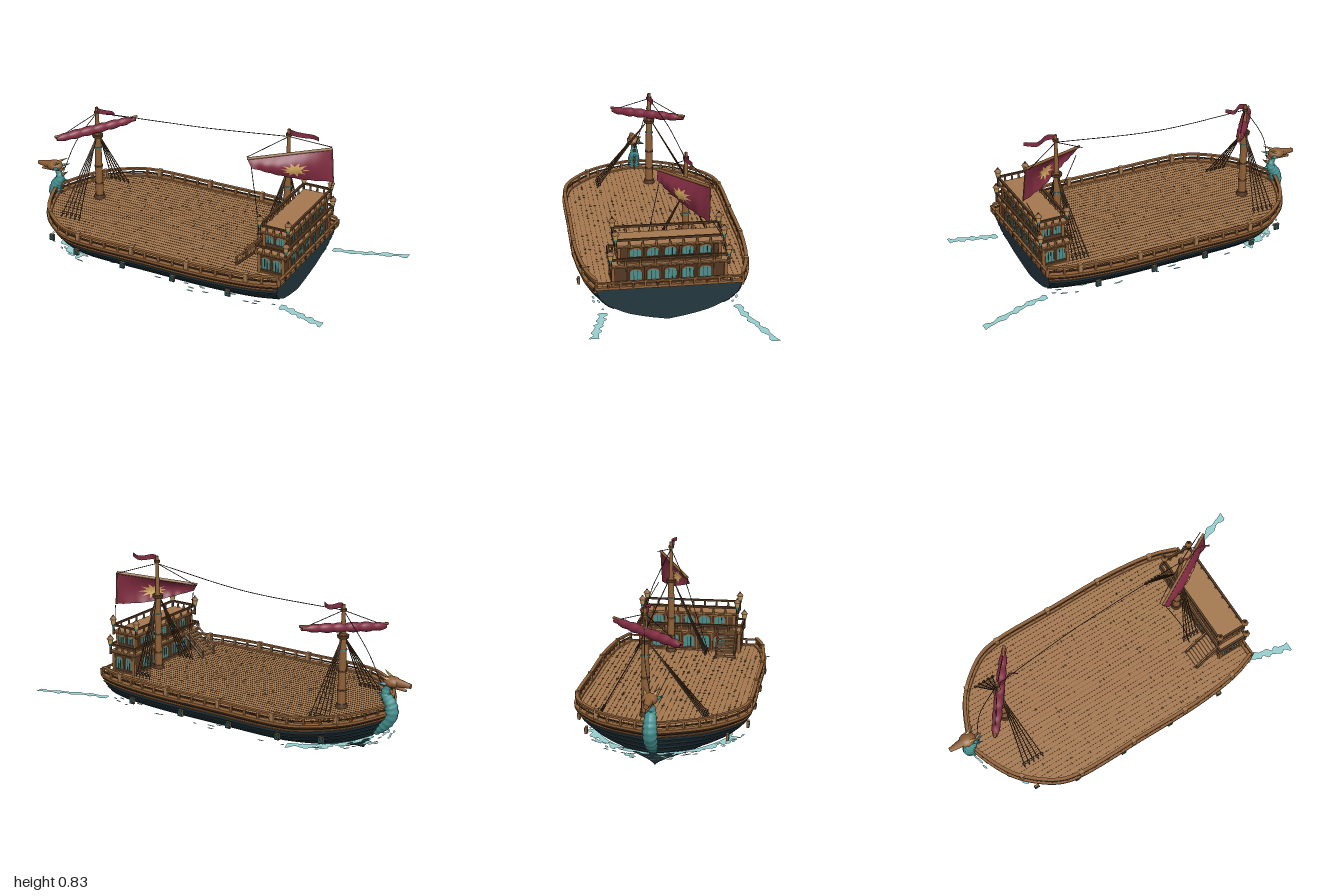
import * as THREE from 'three';
import { mergeGeometries, toCreasedNormals } from 'three/addons/utils/BufferGeometryUtils.js';

const V = (x, y, z) => new THREE.Vector3(x, y, z);
const mat = (name, color, side = THREE.FrontSide) => Object.assign(new THREE.MeshStandardMaterial({ color, side }), { name });

export function createModel() {
  const hullBlue = mat('hull blue', 0x283e46, THREE.DoubleSide), wood = mat('wood', 0x8f6037);
  const deckWood = mat('deck wood', 0xa4784e), darkWood = mat('dark wood', 0x553822);
  const teal = mat('teal', 0x459191), red = mat('crimson cloth', 0x7f2b40, THREE.DoubleSide);
  const gold = mat('gold', 0xcfa25c, THREE.DoubleSide), rope = mat('rope', 0x38271c);
  const foam = mat('foam', 0x96d0d0, THREE.DoubleSide);
  const model = new THREE.Group();

  const group = (name, parent = model, x = 0, y = 0, z = 0) => {
    const g = Object.assign(new THREE.Group(), { name });
    g.position.set(x, y, z);
    parent.add(g);
    return g;
  };
  const add = (name, geo, m, parent = model) => parent.add(Object.assign(new THREE.Mesh(geo, m), { name }));
  const box = (name, w, h, d, x, y, z, m, parent) => add(name, new THREE.BoxGeometry(w, h, d).translate(x, y, z), m, parent);
  const align = (geo, a, b) => {
    const q = new THREE.Quaternion().setFromUnitVectors(V(0, 1, 0), b.clone().sub(a).normalize());
    return geo.applyQuaternion(q).translate(...a.clone().lerp(b, 0.5).toArray());
  };
  const rodGeo = (a, b, r0, r1 = r0, n = 6) => align(new THREE.CylinderGeometry(r1, r0, a.distanceTo(b), n), a, b);
  const rod = (name, a, b, r0, r1, m, parent, n) => add(name, rodGeo(a, b, r0, r1, n), m, parent);
  // surface through fn(u, v)
  const grid = (nu, nv, fn, crease = 0) => {
    const pos = [], idx = [], k = nv + 1;
    for (let i = 0; i <= nu; i++) for (let j = 0; j <= nv; j++) {
      const a = i * k + j, b = a + k;
      pos.push(...fn(i / nu, j / nv).toArray());
      if (i < nu && j < nv) idx.push(a, b, a + 1, b, b + 1, a + 1);
    }
    const g = new THREE.BufferGeometry();
    g.setAttribute('position', new THREE.Float32BufferAttribute(pos, 3)).setIndex(idx).computeVertexNormals();
    return crease ? toCreasedNormals(g, crease) : g;
  };
  let seed = 7;
  const rnd = () => (seed = (seed * 16807) % 2147483647) / 2147483647;

  // Hull: plan outline from left stern round the bow to right stern
  const half = [[0.62, 0.36], [0.5, 0.4], [0.25, 0.43], [-0.12, 0.432], [-0.5, 0.428], [-0.6, 0.4], [-0.7, 0.33], [-0.78, 0.245], [-0.845, 0.12]];
  const right = half.slice().reverse().map(([x, z]) => [x, -z]);
  const plan = new THREE.CatmullRomCurve3([...half, [-0.88, 0], ...right].map(([x, z]) => V(x, 0, z)), false, 'centripetal');
  const fullness = [[0, 0], [0.1, 0.3], [0.24, 0.57], [0.48, 0.82], [0.7, 0.94], [1, 1]];
  const hullPt = (t, y, out = 0) => {
    const p = plan.getPoint(t), d = plan.getTangent(t), v = Math.min(1, y / 0.21);
    const i = Math.max(1, fullness.findIndex(f => v <= f[0])), [a, fa] = fullness[i - 1], [b, fb] = fullness[i];
    const bow = -0.75 - 0.13 * v, stern = 0.57 + 0.05 * v, wide = fa + (fb - fa) * (v - a) / (b - a);
    return V(bow + (stern - bow) * (p.x + 0.88) / 1.5 + d.z * out, y, p.z * wide - d.x * out);
  };
  const hull = group('hull');
  add('hullShell', grid(96, 14, (u, v) => hullPt(u, 0.215 * (1 - v))), hullBlue, hull);
  add('transom', grid(24, 14, (u, v) => hullPt(0, 0.21 * v).multiply(V(1, 1, 1 - 2 * u))), hullBlue, hull);
  const band = (name, y0, y1, in0, out, m) => add(name, grid(96, 4, (u, v) => {
    const j = Math.round(v * 4) % 4;
    return hullPt(u, j === 1 || j === 2 ? y1 : y0, j < 2 ? in0 : out);
  }, 0.6), m, hull);
  for (const y of [0.085, 0.11, 0.135, 0.16]) band('hullPlank', y, y + 0.017, 0, 0.006, hullBlue);
  band('lowerWale', 0.18, 0.188, 0, 0.012, wood);
  band('midWale', 0.196, 0.203, 0, 0.01, darkWood);
  band('gunwale', 0.208, 0.222, -0.018, 0.012, wood);
  band('lowerRail', 0.233, 0.238, -0.008, 0.002, darkWood);
  band('topRail', 0.252, 0.262, -0.012, 0.006, wood);
  box('sternSill', 0.018, 0.014, 0.73, 0.622, 0.215, 0, wood, hull);
  box('sternRail', 0.012, 0.008, 0.73, 0.63, 0.246, 0, wood, hull);
  for (let i = 0; i <= 12; i++) box('sternPost', 0.01, 0.035, 0.01, 0.63, 0.233, -0.36 + 0.06 * i, i % 2 ? darkWood : wood, hull);
  for (let i = 0; i <= 44; i++) {
    const big = i % 4 === 2, p = hullPt(plan.getUtoTmapping(i / 44), 0.238, -0.003), w = big ? 0.022 : 0.011;
    box('railPost', w, big ? 0.056 : 0.045, w, p.x, p.y, p.z, big ? deckWood : wood, hull);
  }
  // gun ports: wood-edged lids with blue faces and teal rings
  for (const [x, z] of [[-0.7, 0.34], [-0.5, 0.418], [-0.22, 0.426], [0.07, 0.426], [0.38, 0.424]]) for (const s of [-1, 1]) {
    box('portLid', 0.026, 0.034, 0.012, x, 0.143, s * z, wood, hull);
    box('portFace', 0.027, 0.033, 0.002, x, 0.143, s * (z + 0.006), hullBlue, hull);
    add('portRing', new THREE.TorusGeometry(0.01, 0.0025, 6, 12).translate(x, 0.145, s * (z + 0.007)), teal, hull);
  }

  // Deck with dark seams and plank ends
  const rim = Array.from({ length: 97 }, (_, i) => hullPt(i / 96, 0.21)), marks = [];
  const outline = new THREE.Shape(rim.map(p => new THREE.Vector2(p.x, -p.z)));
  add('deck', new THREE.ShapeGeometry(outline).rotateX(-Math.PI / 2).translate(0, 0.214, 0), deckWood);
  for (let i = -16; i <= 16; i++) {
    const xs = rim.filter(p => Math.abs(p.z) >= Math.abs(i) * 0.025).map(p => p.x), a = Math.min(...xs), b = Math.max(...xs);
    marks.push(new THREE.BoxGeometry(b - a, 0.002, 0.0014).translate((a + b) / 2, 0.2142, i * 0.025));
  }
  for (let i = 0; i < 230; i++)
    marks.push(new THREE.BoxGeometry(0.005, 0.003, 0.011).translate(-0.62 + 1.04 * rnd(), 0.2145, Math.round((rnd() - 0.5) * 32) * 0.025));
  add('deckSeams', mergeGeometries(marks), darkWood);

  // Stern castle
  const castle = group('sternCastle');
  const arch = (w, h) => new THREE.Shape().moveTo(-w / 2, 0).lineTo(w / 2, 0).lineTo(w / 2, h - w / 3)
    .quadraticCurveTo(w / 2, h, 0, h).quadraticCurveTo(-w / 2, h, -w / 2, h - w / 3);
  const windowAt = (x, y, z, turn, h, w = 0.054) => {
    const g = group('window', castle, x, y, z), f = arch(w + 0.009, h + 0.006);
    g.rotation.y = turn;
    f.holes.push(arch(w, h));
    add('windowPane', new THREE.ShapeGeometry(arch(w, h)).translate(0, 0, 0.003), teal, g);
    add('windowFrame', new THREE.ExtrudeGeometry(f, { depth: 0.007, bevelEnabled: false }), wood, g);
    for (const k of [-1, 1]) box('windowBar', 0.003, h * 0.88, 0.004, k * w / 6, h * 0.44, 0.003, darkWood, g);
  };
  const storey = (x0, x1, zh, y0, y1, winY, winH) => {
    const xm = (x0 + x1) / 2, w = x1 - x0, ym = (y0 + y1) / 2, h = y1 - y0;
    box('cabin', w, h, zh * 2, xm, ym, 0, darkWood, castle);
    for (const y of [y0 + 0.008, y1 - 0.008]) box('cabinTrim', w + 0.012, 0.007, zh * 2 + 0.012, xm, y, 0, wood, castle);
    for (const [x, turn] of [[x0, -Math.PI / 2], [x1, Math.PI / 2]]) {
      for (let i = -2; i <= 2; i++) windowAt(x, winY, i * 0.085 - 0.005, turn, winH);
      for (let i = 0; i < 6; i++) box('cabinPost', 0.014, h, 0.006, x, ym, (i - 2.5) * 0.085 - 0.005, wood, castle);
    }
    for (const s of [-1, 1]) for (const k of [-1, 1]) {
      windowAt(xm + k * 0.03, winY, s * zh, s > 0 ? 0 : Math.PI, winH, 0.042);
      box('cornerPost', 0.016, h, 0.016, xm + k * w / 2, ym, s * zh, wood, castle);
    }
  };
  const balcony = (x0, x1, zh, y, h) => {
    const xm = (x0 + x1) / 2, w = x1 - x0;
    const baluster = (x, z) => rod('baluster', V(x, y, z), V(x, y + h, z), 0.007, 0.004, wood, castle);
    box('balconyFloor', w, 0.012, zh * 2, xm, y, 0, deckWood, castle);
    box('balconyEdge', w + 0.01, 0.006, zh * 2 + 0.01, xm, y - 0.004, 0, wood, castle);
    for (const k of [-1, 1]) {
      box('balconyRail', 0.011, 0.01, zh * 2, xm + k * w / 2, y + h, 0, darkWood, castle);
      box('balconyRail', w, 0.01, 0.011, xm, y + h, k * zh, darkWood, castle);
      for (let i = -4; i <= 4; i++) baluster(xm + k * w / 2, zh * i / 4);
      for (let i = 1; i < 4; i++) baluster(x0 + w * i / 4, k * zh);
    }
  };
  storey(0.48, 0.61, 0.275, 0.212, 0.325, 0.237, 0.064);
  balcony(0.465, 0.625, 0.287, 0.328, 0.036);
  storey(0.49, 0.605, 0.245, 0.33, 0.425, 0.368, 0.042);
  balcony(0.47, 0.622, 0.262, 0.43, 0.036);
  for (const s of [-1, 1]) for (const [x, y, z] of [[0.625, 0.342, 0.287], [0.47, 0.445, 0.262], [0.622, 0.445, 0.262]]) {
    const g = group('lantern', castle, x, y, s * z);
    for (const [part, a, b, r0, r1, m] of [['lanternPost', -0.03, 0.025, 0.007, 0.006, darkWood], ['lanternCup', 0.008, 0.027, 0.006, 0.011, teal],
      ['lanternGlass', 0.027, 0.052, 0.011, 0.016, gold], ['lanternRoof', 0.052, 0.068, 0.02, 0.008, wood], ['lanternTip', 0.068, 0.076, 0.006, 0.003, darkWood]])
      rod(part, V(0, a, 0), V(0, b, 0), r0, r1, m, g);
  }
  // stairs from the deck to the balcony
  for (let i = 0; i < 8; i++) box('step', 0.018, 0.008, 0.095, 0.352 + i * 0.0155, 0.226 + i * 0.0145, 0.21, deckWood, castle);
  for (const z of [0.16, 0.26]) {
    rod('stringer', V(0.345, 0.214, z), V(0.47, 0.33, z), 0.007, 0.007, darkWood, castle);
    rod('handrail', V(0.345, 0.255, z), V(0.465, 0.365, z), 0.005, 0.005, wood, castle);
    for (const x of [0.345, 0.4]) rod('stairPost', V(x, x - 0.133, z), V(x, x - 0.088, z), 0.005, 0.005, wood, castle);
  }

  // Masts with rigging and pennants; b0..b1 and feet place the shrouds on deck
  const mast = (name, x, z, top, r, hound, b0, b1, feet, flagLen) => {
    const g = group(name), lines = [], R = r * 1.15;
    for (const [part, a, b, r0, r1, m] of [['lowerMast', 0.21, hound + 0.03, r * 1.1, r * 0.85, wood], ['upperMast', hound, top, r * 0.7, r * 0.4, wood],
      ['mastTruck', top - 0.035, top - 0.022, 0.015, 0.015, darkWood], ['mastCap', hound + 0.005, hound + 0.02, r * 1.4, r * 1.5, darkWood],
      ['mastFoot', 0.21, 0.235, r * 1.6, r * 1.35, darkWood], ['mastBand', 0.3, 0.309, R, R, darkWood],
      ['mastBand', 0.4, 0.409, R, R, darkWood], ['mastBand', 0.512, 0.518, r * 1.1, r * 1.1, teal]])
      rod(part, V(x, a, z), V(x, b, z), r0, r1, m, g, 12);
    feet.forEach((zf, side) => {
      const at = (k, f) => V(x, hound, z + (side ? r : -r)).lerp(V(b0 + (b1 - b0) * k, 0.218, zf), f);
      for (let i = 0; i < 5; i++) {
        lines.push(rodGeo(at(i / 4, 0), at(i / 4, 1), 0.0027, 0.0027, 5));
        add('deadeye', new THREE.SphereGeometry(0.008, 8, 6).translate(...at(i / 4, 0.95).toArray()), rope, g);
      }
      for (let i = 2; i < 15; i++) lines.push(rodGeo(at(0, i / 15), at(1, i / 15), 0.0012, 0.0012, 4));
    });
    add('shrouds', mergeGeometries(lines), darkWood, g);
    add('pennant', grid(14, 4, (u, v) => V(x + flagLen * u, top - 0.014 - (v - 0.5) * 0.03 * (1 - 0.3 * u) - 0.008 * u + 0.004 * Math.sin(u * 8), z + 0.014 * Math.sin(u * 7))), red, g);
    return g;
  };
  const fore = mast('foreMast', -0.65, -0.06, 0.745, 0.02, 0.57, -0.705, -0.595, [-0.28, 0.24], 0.115);
  const main = mast('mainMast', 0.45, -0.1, 0.83, 0.019, 0.6, 0.37, 0.455, [-0.29, 0.1], 0.165);

  // furled sail on the fore yard
  const f0 = V(-0.785, 0.608, 0.13), f1 = V(-0.515, 0.642, -0.23), span = f0.distanceTo(f1);
  add('furledSail', align(grid(48, 14, (u, v) => {
    const a = v * Math.PI * 2, k = 0.022 + 0.005 * Math.abs(Math.sin(u * 20)) - 0.012 * Math.abs(2 * u - 1) ** 4 - 0.003 * u;
    return V(Math.cos(a) * k, (u - 0.5) * span, -Math.sin(a) * k);
  }), f0, f1), red, fore);
  rod('foreYard', f0.clone().add(V(-0.006, 0.012, 0.008)), f1.clone().add(V(0.006, 0.012, -0.008)), 0.007, 0.007, wood, fore);

  // open sail on the main yard, with a starburst patch following the cloth
  const n = V(0.48, 0, 0.88), y0 = V(0.265, 0.676, -0.005), y1 = V(0.64, 0.73, -0.205);
  const foot = new THREE.CatmullRomCurve3([V(0.295, 0.635, 0.005), V(0.4, 0.6, -0.05), V(0.51, 0.568, -0.12), V(0.655, 0.553, -0.2)]);
  const sailPt = (u, v, lift = 0) => y0.clone().lerp(y1, u).lerp(foot.getPoint(u), v)
    .addScaledVector(n, 0.02 + lift + 0.026 * Math.sin(Math.PI * u) * Math.sin(Math.PI * v) + 0.003 * Math.sin(u * 40) * v);
  add('mainSail', grid(40, 12, (u, v) => sailPt(u, v)), red, main);
  rod('mainYard', sailPt(0, 0), sailPt(1, 0), 0.008, 0.008, wood, main);
  add('sailHem', new THREE.TubeGeometry(new THREE.LineCurve3(sailPt(1, 0), sailPt(1, 1)), 1, 0.003, 5), wood, main);
  for (const lift of [-0.003, 0.003]) add('starPatch', grid(20, 5, (u, v) => {
    const a = u * Math.PI * 2, r = v * (Math.round(u * 20) % 2 ? 0.5 : 1);
    return sailPt(0.57 + 0.18 * r * Math.cos(a), 0.6 + 0.29 * r * Math.sin(a), lift);
  }), gold, main);

  // stays and running lines
  const hook = V(0.45, 0.79, -0.1), peak = V(-0.65, 0.715, -0.06);
  for (const pts of [[peak, V(-0.2, 0.727, -0.1), V(0, 0.74, -0.105), hook], [peak, V(-0.78, 0.52, -0.04), V(-0.84, 0.35, 0)],
    [peak, f0], [peak, f1], [hook, y0], [hook, y1], [foot.getPoint(0), V(0.375, 0.35, 0.08), V(0.39, 0.22, 0.12)], [foot.getPoint(1), V(0.622, 0.465, -0.25)]])
    add('stay', new THREE.TubeGeometry(new THREE.CatmullRomCurve3(pts), 20, 0.002, 5), rope);

  // Serpent figurehead
  const beast = group('figurehead');
  const neck = new THREE.CatmullRomCurve3([V(-0.81, 0.1, 0), V(-0.86, 0.145, 0), V(-0.898, 0.21, 0), V(-0.888, 0.265, 0), V(-0.862, 0.31, 0), V(-0.88, 0.365, 0)]);
  add('neck', grid(44, 12, (u, v) => {
    const c = neck.getPoint(u), t = neck.getTangent(u), a = v * Math.PI * 2;
    const r = (0.014 + 0.022 * Math.sin(Math.PI * Math.min(1, u * 0.9 + 0.1)) + 0.002 * Math.sin(u * 75)) * (1 - 0.1 * u);
    return c.add(V(-t.y * Math.cos(a) * r, t.x * Math.cos(a) * r, -Math.sin(a) * r));
  }), teal, beast);
  for (let i = 0; i < 9; i++) {
    const c = neck.getPoint(0.3 + i * 0.08), t = neck.getTangent(0.3 + i * 0.08), back = V(t.y, -t.x, 0);
    rod('spine', c.clone().addScaledVector(back, 0.018), c.clone().addScaledVector(back, 0.054).add(V(0, 0.014, 0)), 0.011, 0.001, i % 3 ? wood : teal, beast);
  }
  add('skull', new THREE.SphereGeometry(1, 14, 10).scale(0.046, 0.028, 0.038).translate(-0.895, 0.378, 0), wood, beast);
  rod('snout', V(-0.9, 0.38, 0), V(-0.998, 0.374, 0), 0.027, 0.012, wood, beast, 8);
  rod('lowerJaw', V(-0.9, 0.36, 0), V(-0.975, 0.346, 0), 0.016, 0.006, wood, beast, 8);
  for (const s of [-1, 1]) {
    rod('horn', V(-0.89, 0.39, s * 0.018), V(-0.835, 0.418, s * 0.038), 0.01, 0.001, gold, beast);
    rod('ear', V(-0.875, 0.37, s * 0.025), V(-0.83, 0.378, s * 0.052), 0.012, 0.001, teal, beast);
  }

  // Wakes, bow waves and spray on the waterline
  for (const [name, w, pts] of [['wakeRight', 0.044, [[0.62, -0.335], [0.73, -0.355], [0.85, -0.4], [0.998, -0.452]]], ['wakeLeft', 0.05, [[0.62, 0.325], [0.7, 0.345], [0.78, 0.37], [0.87, 0.39]]]]) {
    const c = new THREE.CatmullRomCurve3(pts.map(([x, z]) => V(x, 0.081, z)));
    add(name, grid(30, 1, (u, v) => c.getPoint(u).add(V(0, 0, (v - 0.5) * w * (0.75 + 0.25 * Math.sin(u * 27)) + 0.004 * Math.sin(u * 41)))), foam);
  }
  for (const s of [-1, 1]) add('bowWave', grid(40, 1, (u, v) =>
    hullPt(0.5 + s * (0.01 + 0.24 * u), 0.08, 0.03 * u + v * (0.025 + 0.04 * u) * (0.75 + 0.25 * Math.sin(u * 33)))), foam);
  const spray = [];
  for (let i = 0; i < 100; i++) {
    const t = i < 45 ? 0.27 + 0.46 * rnd() : rnd(), p = hullPt(t, 0.08, 0.02 + 0.075 * rnd()), d = plan.getTangent(t);
    spray.push(new THREE.CircleGeometry(1, 6).scale(0.01 + 0.015 * rnd(), 0.006, 1).rotateX(-Math.PI / 2)
      .rotateY(Math.atan2(-d.z, d.x)).translate(p.x, 0.079 + 0.004 * rnd(), p.z));
  }
  add('spray', mergeGeometries(spray), foam);
  return model;
}
